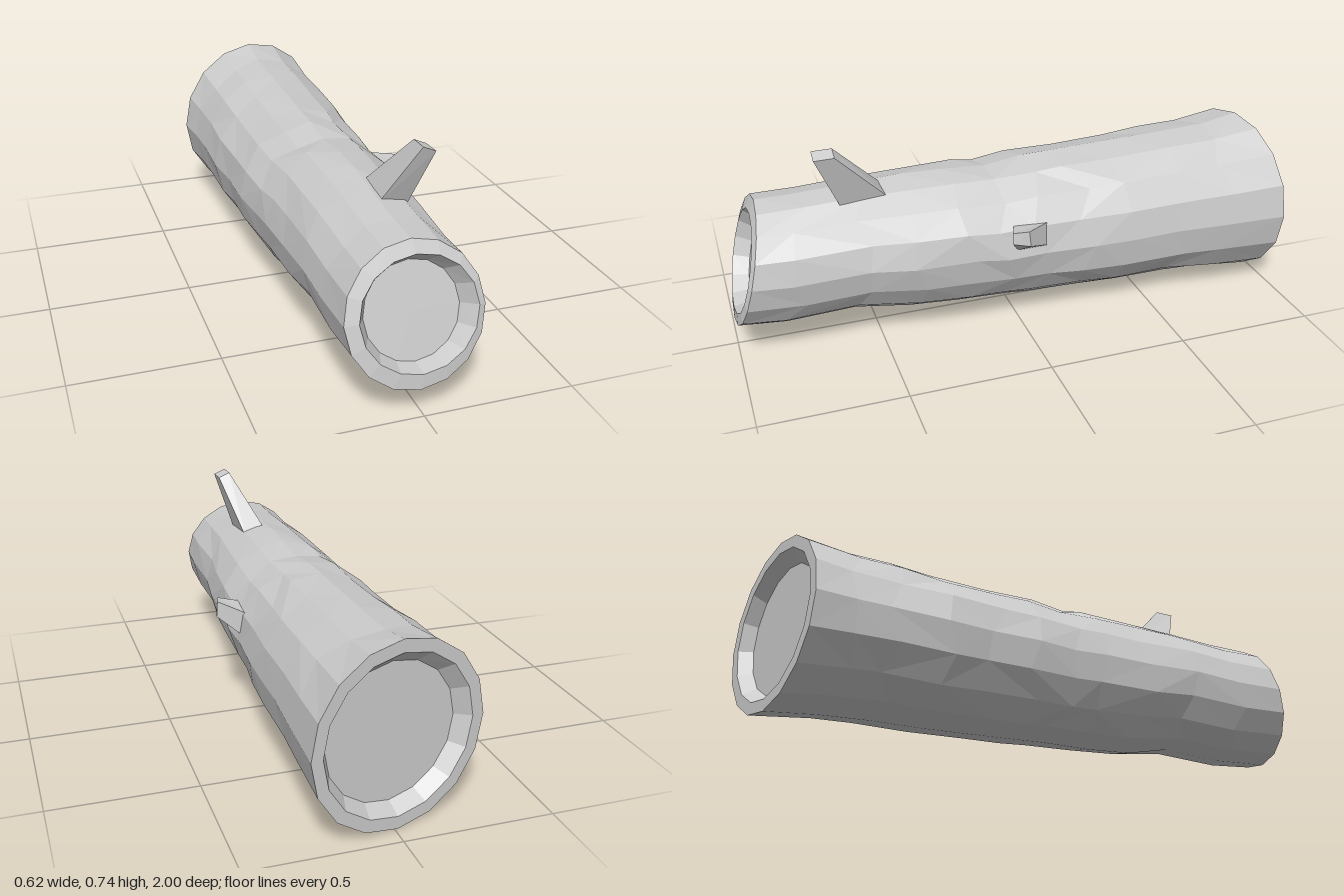
import * as THREE from 'three';

const SIDES = 16;

function flatMesh(name, positions, index) {
  let g = new THREE.BufferGeometry();
  g.setAttribute('position', new THREE.Float32BufferAttribute(positions, 3));
  g.setIndex(index);
  g = g.toNonIndexed();
  g.computeVertexNormals();
  const mesh = new THREE.Mesh(g, new THREE.MeshStandardMaterial({ color: 0xcccccc, flatShading: true }));
  mesh.name = name;
  return mesh;
}

function seeded(seed) {
  return () => (seed = (seed * 16807) % 2147483647) / 2147483647;
}

// Skin between rings of points, all rings having the same number of points
function loft(name, rings, alternate = false) {
  const n = rings[0].length, index = [];
  for (let r = 0; r < rings.length - 1; r++) {
    for (let i = 0; i < n; i++) {
      const a = r * n + i, b = r * n + (i + 1) % n, c = a + n, d = b + n;
      if (alternate && (i * 3 + r * 5) % 4 < 2) index.push(a, c, d, a, d, b);
      else index.push(a, c, b, b, c, d);
    }
  }
  return flatMesh(name, rings.flat(2), index);
}

// Ring across the log: z, left, right, bottom, top, slope of z in x and in y
function ring(z, x0, x1, y0, y1, slopeX = 0, slopeY = 0, jitter = null) {
  const cx = (x0 + x1) / 2, cy = (y0 + y1) / 2, pts = [];
  for (let i = 0; i < SIDES; i++) {
    const a = (i / SIDES) * Math.PI * 2;
    const k = jitter ? 1 + (jitter() - 0.5) * 0.04 : 1;
    const dx = (x1 - x0) / 2 * Math.sin(a) * k, dy = (y1 - y0) / 2 * Math.cos(a) * k;
    const dz = jitter ? (jitter() - 0.5) * 0.08 : 0;
    pts.push([cx + dx, cy + dy, z + slopeX * dx + slopeY * dy + dz]);
  }
  return pts;
}

export function createModel() {
  const log = new THREE.Group();
  log.name = 'log';
  const rand = seeded(77);
  const BACK = -0.235, FRONT = -0.25;

  // Bark, from the wide back end to the narrow front end
  const backEdge = ring(-0.93, -0.312, 0.292, 0, 0.623, BACK, 0);
  const frontEdge = ring(0.945, -0.24, 0.208, 0.097, 0.543, 0, FRONT);
  const body = [
    [-0.76, -0.302, 0.283, 0.02, 0.602, -0.12],
    [-0.58, -0.294, 0.275, 0.032, 0.59],
    [-0.4, -0.29, 0.268, 0.03, 0.578],
    [-0.22, -0.285, 0.26, 0.036, 0.572],
    [-0.06, -0.278, 0.252, 0.042, 0.566],
    [0.06, -0.268, 0.25, 0.047, 0.556],
    [0.21, -0.257, 0.248, 0.055, 0.567],
    [0.38, -0.25, 0.235, 0.064, 0.562],
    [0.55, -0.242, 0.218, 0.092, 0.555],
    [0.78, -0.242, 0.212, 0.082, 0.546, 0, -0.12],
  ].map(([z, x0, x1, y0, y1, sx = 0, sy = 0]) => ring(z, x0, x1, y0, y1, sx, sy, rand));
  log.add(loft('bark', [backEdge, ...body, frontEdge], true));

  // Cut ends: rim, short inner wall and recessed face
  log.add(loft('backEnd', [
    Array(SIDES).fill([0.005, 0.31, -0.888]),
    ring(-0.888, -0.222, 0.232, 0.08, 0.54, BACK, 0),
    ring(-0.93, -0.272, 0.252, 0.043, 0.58, BACK, 0),
    backEdge,
  ]));
  log.add(loft('frontEnd', [
    frontEdge,
    ring(0.954, -0.195, 0.185, 0.147, 0.5, 0, FRONT),
    ring(0.9, -0.165, 0.145, 0.157, 0.462, 0, FRONT),
    Array(SIDES).fill([-0.01, 0.31, 0.9]),
  ]));

  // Broken branch stubs: four-sided, corners anticlockwise seen from the base
  const stub = (name, base, tip) => {
    const mid = tip.reduce((s, p) => s.map((v, k) => v + p[k] / 4), [0, 0, 0]);
    log.add(loft(name, [base, tip, Array(4).fill(mid)]));
  };
  stub('topBranch',
    [[-0.008, 0.53, 0.44], [0.08, 0.52, 0.44], [0.085, 0.51, 0.61], [-0.01, 0.53, 0.61]],
    [[0.095, 0.74, 0.63], [0.137, 0.722, 0.63], [0.14, 0.722, 0.7], [0.097, 0.74, 0.7]]);
  stub('sideBranch',
    [[0.215, 0.415, 0.04], [0.215, 0.41, -0.095], [0.232, 0.325, -0.09], [0.235, 0.325, 0.03]],
    [[0.29, 0.425, 0.07], [0.305, 0.43, 0.015], [0.31, 0.375, 0.01], [0.295, 0.385, 0.07]]);
  return log;
}
